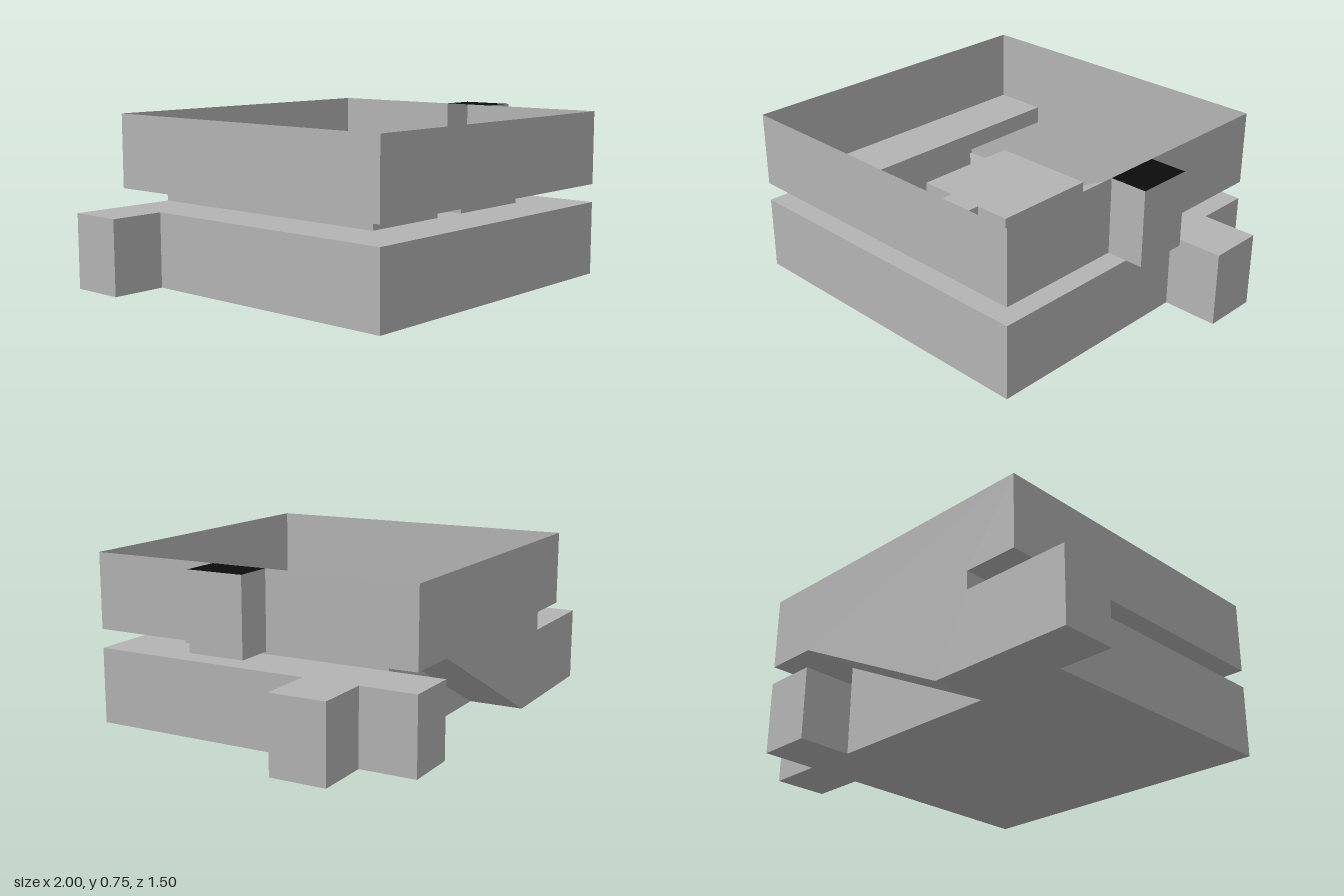
import * as THREE from 'three';

export function createModel() {
  const model = new THREE.Group();
  const grey = new THREE.MeshStandardMaterial({ color: 0xb4b4b4, side: THREE.DoubleSide });
  grey.name = 'grey';
  const black = new THREE.MeshStandardMaterial({ color: 0x0c0c0c, side: THREE.DoubleSide });
  black.name = 'black';

  // Heights of the layers
  const Y0 = 0, Y1 = 1 / 3, Y2 = 5 / 12, Y3 = 0.75;
  const T = 1 / 12, S = 1 / 3;

  const add = (name, geometry, material = grey) => {
    const mesh = new THREE.Mesh(geometry, material);
    mesh.name = name;
    model.add(mesh);
    return mesh;
  };

  // Thin vertical walls along a path of [x, z] points
  const walls = (name, path, low, high) => {
    const p = [];
    for (let i = 0; i + 1 < path.length; i++) {
      const [ax, az] = path[i], [bx, bz] = path[i + 1];
      p.push(ax, low, az, bx, low, bz, bx, high, bz, ax, low, az, bx, high, bz, ax, high, az);
    }
    const g = new THREE.BufferGeometry();
    g.setAttribute('position', new THREE.Float32BufferAttribute(p, 3));
    g.computeVertexNormals();
    return add(name, g);
  };

  const shape = (pts) => new THREE.ShapeGeometry(new THREE.Shape(pts.map(([a, b]) => new THREE.Vector2(a, b))));

  // Flat plate with an [x, z] outline; down turns its front to the ground
  const plate = (name, outline, y, down = false, material = grey) => {
    const g = down
      ? shape(outline).rotateX(Math.PI / 2)
      : shape(outline.map(([x, z]) => [x, -z])).rotateX(-Math.PI / 2);
    return add(name, g.translate(0, y, 0), material);
  };

  // Upright panel with an [x, y] outline, facing the back
  const backPanel = (name, outline, z) =>
    add(name, shape(outline.map(([x, y]) => [-x, y])).rotateY(Math.PI).translate(0, 0, z));

  // Keyhole channel joining the two hollow layers
  const channel = [
    [-0.5, -0.75], [-0.5, 0.5], [-T, 0.5], [-T, 0.25], [-0.25, 0.25], [-0.25, -0.25],
    [0.25, -0.25], [0.25, 0.25], [T, 0.25], [T, 0.5], [0.5, 0.5], [0.5, -0.5],
  ];
  const channelEdge = [[0.5, -0.75], ...channel.slice(0, -1).reverse()];

  // Lower layer with its two side tabs
  const lower = [
    [-1, -0.75], [-1, -0.5], [-0.75, -0.5], [-0.75, 0.75], [0.75, 0.75], [0.75, -0.25],
    [1, -0.25], [1, -0.5], [0.75, -0.5], [0.75, -0.75], [0.5, -0.75],
  ];
  walls('lowerWalls', [...lower, [0.5, -0.5]], Y0, Y1);
  plate('bottom', [...lower, [0.5, -0.5], [-S, -0.5], [-S, -0.75]], Y0, true);
  plate('lowerTop', [...lower, ...channelEdge.slice(1)], Y1);

  // Middle layer
  walls('channelWalls', channel, Y1, Y2);

  // Upper open tray with its side tab
  const upper = [
    [-0.75, -0.75], [-0.75, 0.75], [0.75, 0.75], [0.75, 1 / 6], [11 / 12, 1 / 6],
    [11 / 12, -T], [0.75, -T], [0.75, -0.75],
  ];
  walls('upperWalls', upper, Y2, Y3);
  plate('upperFloor', [...upper, ...channelEdge], Y2, true);
  plate('upperTabLid', [[0.75, -T], [0.75, 1 / 6], [11 / 12, 1 / 6], [11 / 12, -T]], Y3, false, black);

  // Continuous back with the slanted cut
  backPanel('backWall', [
    [-1, Y0], [-S, Y0], [0.5, Y2], [0.75, Y2], [0.75, Y3],
    [-0.75, Y3], [-0.75, Y2], [-0.5, Y2], [-0.5, Y1], [-1, Y1],
  ], -0.75);

  // Slanted cut: inner wall and ramp
  backPanel('cutWall', [[-S, Y0], [0.5, Y0], [0.5, Y2]], -0.5);
  const ramp = new THREE.PlaneGeometry(Math.hypot(0.5 + S, Y2), 0.25).rotateX(Math.PI / 2);
  ramp.rotateZ(Math.atan2(Y2, 0.5 + S)).translate((0.5 - S) / 2, Y2 / 2, -0.625);
  add('ramp', ramp);

  return model;
}
